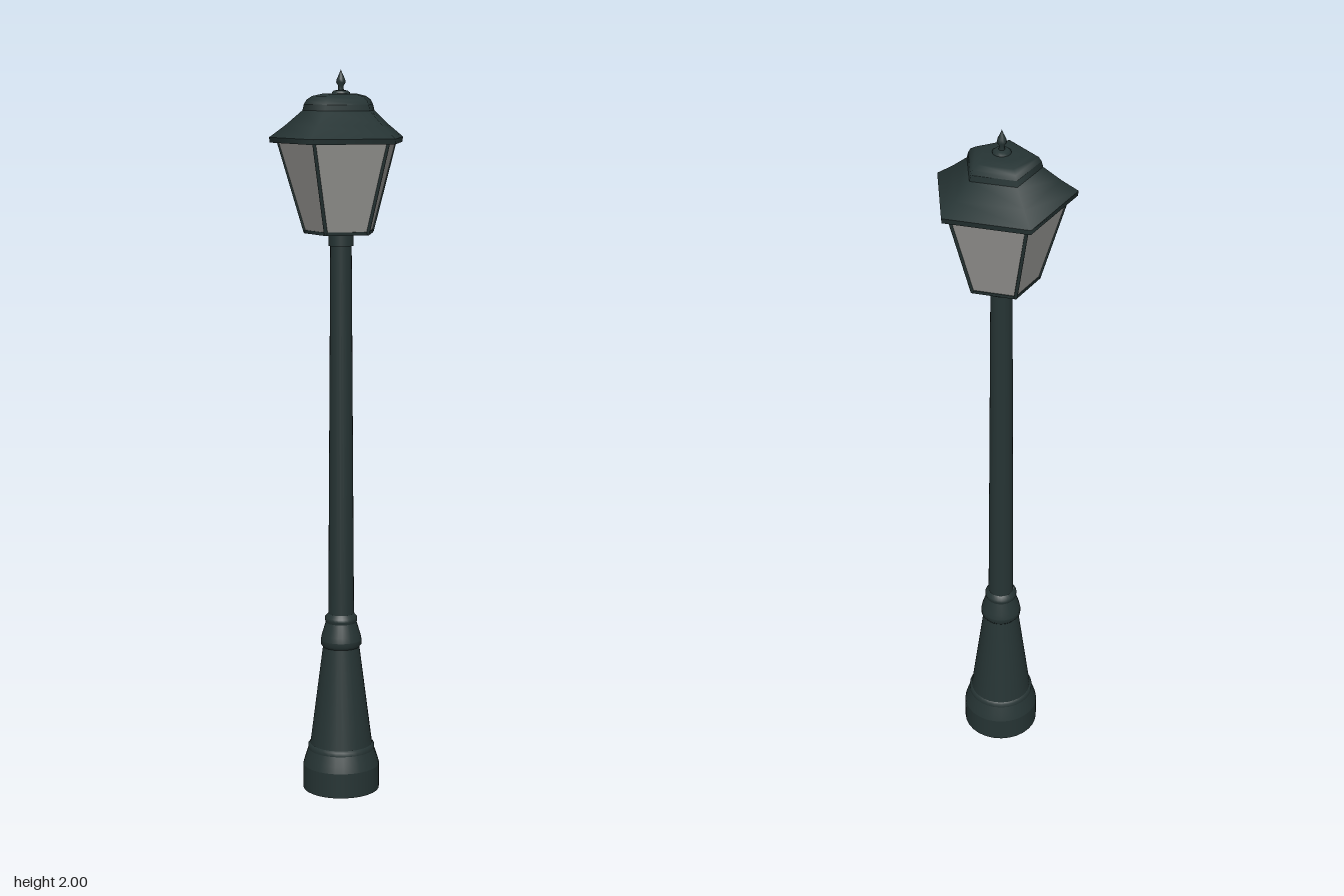
import * as THREE from 'three';

const TURN = THREE.MathUtils.degToRad(88); // puts one lantern corner towards +x

export function createModel() {
  const metal = new THREE.MeshStandardMaterial({ color: 0x263434 });
  metal.name = 'dark green iron';
  const glass = new THREE.MeshStandardMaterial({ color: 0x9a9996 });
  glass.name = 'frosted glass';

  const model = new THREE.Group();
  model.name = 'streetLamp';
  model.position.set(-0.017, 0, -0.003);

  // Turns each [radius, y] profile, listed bottom to top; separate profiles keep a crisp edge
  function turned(name, sides, ...profiles) {
    const part = new THREE.Group();
    part.name = name;
    for (const profile of profiles) {
      const points = profile.map(([r, y]) => new THREE.Vector2(r, y));
      const mesh = new THREE.Mesh(new THREE.LatheGeometry(points, sides, TURN), metal);
      mesh.name = name + 'Section';
      part.add(mesh);
    }
    model.add(part);
  }

  // Post
  turned('base', 28,
    [[0, 0], [0.107, 0]],
    [[0.107, 0], [0.107, 0.07]],
    [[0.107, 0.07], [0.102, 0.088], [0.093, 0.115]],
    [[0.093, 0.115], [0.093, 0.126], [0.087, 0.13]]);
  turned('taperedFoot', 28,
    [[0.087, 0.13], [0.051, 0.41]],
    [[0.051, 0.41], [0.057, 0.418], [0.057, 0.43]],
    [[0.057, 0.43], [0.054, 0.445], [0.043, 0.48]],
    [[0.043, 0.48], [0.045, 0.487], [0.045, 0.495], [0.036, 0.505]]);
  turned('pole', 24, [[0.036, 0.49], [0.029, 1.54]]);
  turned('collar', 24,
    [[0.028, 1.53], [0.034, 1.53]],
    [[0.034, 1.53], [0.034, 1.565]]);

  // Five-sided lantern
  turned('lanternFloor', 5,
    [[0, 1.563], [0.101, 1.563]],
    [[0.101, 1.563], [0.102, 1.572]],
    [[0.102, 1.572], [0, 1.572]]);

  let panes = new THREE.CylinderGeometry(0.172, 0.099, 0.24, 5, 1, true, TURN).toNonIndexed();
  panes.computeVertexNormals();
  const paneMesh = new THREE.Mesh(panes, glass);
  paneMesh.name = 'glassPanes';
  paneMesh.position.y = 1.69;
  model.add(paneMesh);

  for (let i = 0; i < 5; i++) {
    const a = TURN + (i * Math.PI * 2) / 5;
    const at = (r, y) => new THREE.Vector3(r * Math.sin(a), y, r * Math.cos(a));
    const curve = new THREE.LineCurve3(at(0.097, 1.566), at(0.17, 1.812));
    const bar = new THREE.Mesh(new THREE.TubeGeometry(curve, 1, 0.005, 6), metal);
    bar.name = 'cornerBar';
    model.add(bar);
  }

  // Roof with a raised cap
  turned('roof', 5,
    [[0, 1.806], [0.193, 1.806]],
    [[0.193, 1.806], [0.195, 1.82]],
    [[0.195, 1.82], [0.15, 1.853], [0.104, 1.892]]);
  turned('roofCap', 5,
    [[0.104, 1.892], [0.1, 1.908]],
    [[0.1, 1.908], [0.093, 1.92], [0.078, 1.93], [0.05, 1.936], [0, 1.938]]);

  // Finial
  turned('finialSeat', 16, [[0.024, 1.93], [0.024, 1.94], [0.018, 1.945], [0, 1.946]]);
  turned('finial', 12, [[0.008, 1.944], [0.007, 1.957], [0.013, 1.966],
    [0.011, 1.975], [0.005, 1.988], [0, 2]]);

  const group = new THREE.Group();
  group.name = 'lampPost';
  group.add(model);
  return group;
}
